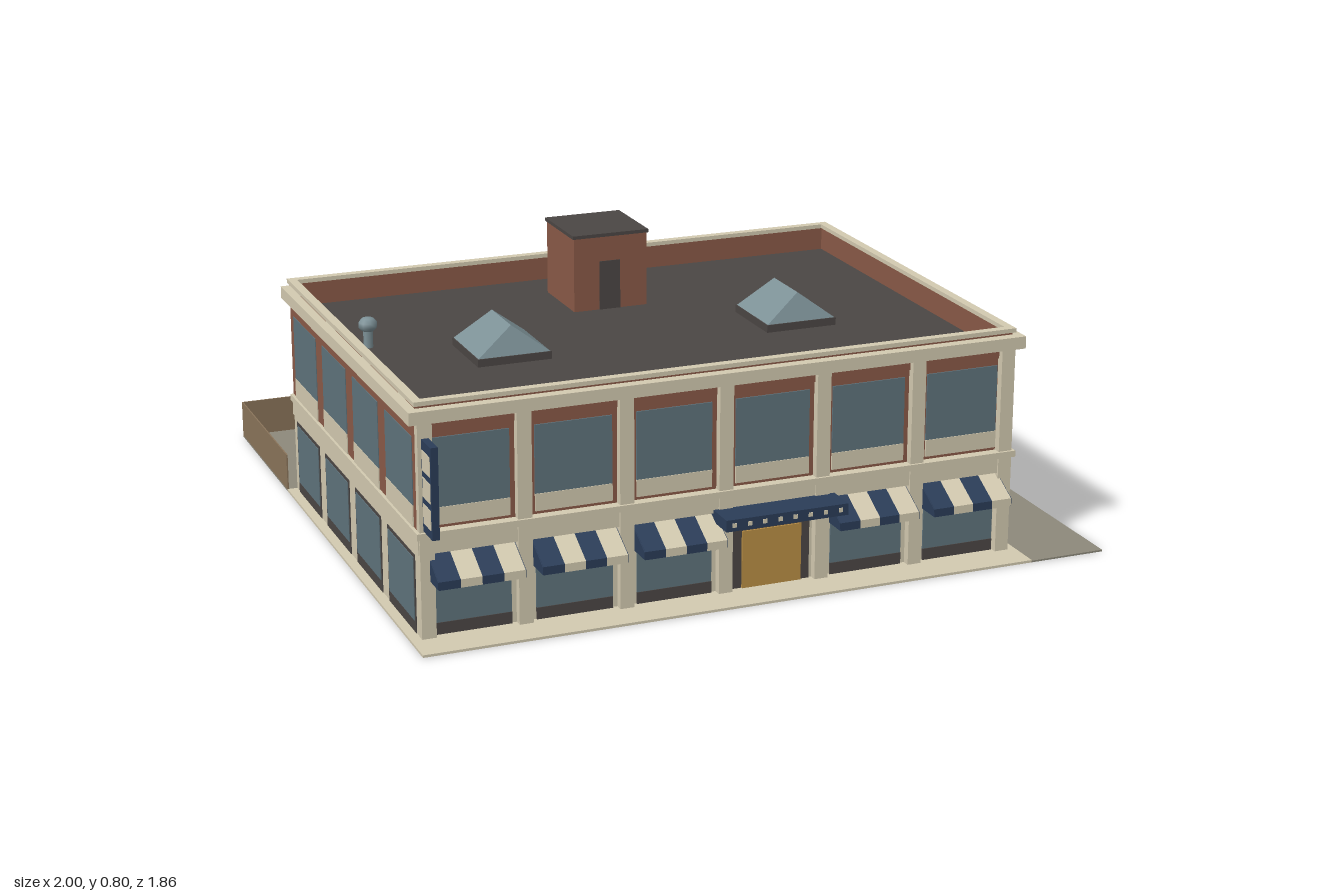
import * as THREE from 'three';

const mat = (name, color) => {
  const m = new THREE.MeshStandardMaterial({ color });
  m.name = name;
  return m;
};

export function createModel() {
  const cream = mat('cream stone', 0xd3cab0);
  const brick = mat('red brick', 0x8a5a47);
  const dark = mat('dark roofing', 0x4b4644);
  const glass = mat('window glass', 0x5f737c);
  const steel = mat('pale steel', 0x7d9197);
  const navy = mat('navy', 0x2b3d58);
  const gold = mat('gold door', 0xba8f45);
  const wood = mat('brown timber', 0x8a745a);
  const paving = mat('paving', 0x8d897b);

  const model = new THREE.Group();
  model.name = 'cornerShop';

  const add = (name, geo, material, parent = model) => {
    const m = new THREE.Mesh(geo, material);
    m.name = name;
    parent.add(m);
    return m;
  };
  // box given by its limits on each axis
  const box = (name, material, x0, x1, y0, y1, z0, z1, parent = model) => {
    const m = add(name, new THREE.BoxGeometry(x1 - x0, y1 - y0, z1 - z0), material, parent);
    m.position.set((x0 + x1) / 2, (y0 + y1) / 2, (z0 + z1) / 2);
    return m;
  };

  const L = -0.97, R = 0.75, B = -0.4, F = 0.81, CX = -0.11;
  const ROOF = 0.575, FLOOR = 0.3;

  // stone base with the pavement, L-shaped yard and its fence
  box('pavement', cream, -1, 0.775, 0, 0.007, B, 0.93);
  box('backYard', paving, -1, 1, 0, 0.005, -0.93, B);
  box('sideYard', paving, 0.775, 1, 0, 0.005, B, 0.93);
  box('backFence', wood, -1, 1, 0, 0.115, -0.934, -0.93);
  box('sideFence', wood, -1, -0.996, 0.005, 0.115, -0.93, B);

  // main body
  box('groundFloor', cream, L, R, 0.005, FLOOR, B, F);
  box('upperFloor', brick, L, R, FLOOR, ROOF - 0.005, B, F);
  box('roofDeck', dark, L + 0.012, R - 0.012, ROOF - 0.005, ROOF, B + 0.012, F - 0.002);

  // parapet and coping share one ring layout
  const ring = (name, material, x0, x1, z0, z1, w, y0, y1) => {
    const g = new THREE.Group();
    g.name = name;
    model.add(g);
    box(name + 'Front', material, x0, x1, y0, y1, z1 - w, z1, g);
    box(name + 'Back', material, x0, x1, y0, y1, z0, z0 + w, g);
    box(name + 'Right', material, x0, x0 + w, y0, y1, z0 + w, z1 - w, g);
    box(name + 'Left', material, x1 - w, x1, y0, y1, z0 + w, z1 - w, g);
  };
  ring('parapet', brick, L, R, B, F + 0.005, 0.016, ROOF - 0.005, 0.643);
  ring('coping', cream, L - 0.006, R + 0.006, B - 0.005, F + 0.015, 0.025, 0.643, 0.655);

  // cornice and floor ledge on the front and both sides
  const trim = (name, out, y0, y1, front) => {
    box(name + 'Front', cream, L - out, R + out, y0, y1, F + 0.001, front);
    box(name + 'Right', cream, L - out, L, y0, y1, B, F + 0.001);
    box(name + 'Left', cream, R, R + out, y0, y1, B, F + 0.001);
  };
  trim('cornice', 0.026, 0.6, 0.635, 0.845);
  trim('ledge', 0.01, 0.285, 0.303, 0.84);
  trim('floorBand', 0.004, 0.24, 0.285, 0.828);

  // front pilasters
  for (let i = 0; i < 7; i++) {
    const x = THREE.MathUtils.clamp(-0.1125 + (i - 3) * 0.285, L + 0.019, R - 0.019);
    box('pilaster', cream, x - 0.02, x + 0.02, 0.007, 0.6, F, 0.833);
  }

  // striped awning with navy cheeks, sloping out from the wall
  const sideShape = (pts) => new THREE.Shape(pts.map(([z, y]) => new THREE.Vector2(-z, y)));
  const extrude = (pts, depth) =>
    new THREE.ExtrudeGeometry(sideShape(pts), { depth, bevelEnabled: false }).rotateY(Math.PI / 2);
  const stripeGeo = extrude([[F, 0.237], [0.9, 0.188], [0.9, 0.165], [F, 0.212]], 0.059);
  const cheekGeo = extrude([[F, 0.236], [0.899, 0.187], [0.899, 0.166], [F, 0.166]], 0.002);
  const awning = (x) => {
    const g = new THREE.Group();
    g.name = 'awning';
    model.add(g);
    for (let i = 0; i < 4; i++)
      add('awningStripe', stripeGeo, i % 2 ? cream : navy, g).position.x = x - 0.118 + i * 0.059;
    for (const dx of [-0.12, 0.118])
      add('awningCheek', cheekGeo, navy, g).position.x = x + dx;
  };

  // front bays
  for (let i = 0; i < 6; i++) {
    const x = 0.03 + (i - 3) * 0.285;
    const h = 0.108;
    box('upperWindow', glass, x - h, x + h, 0.36, 0.55, F, F + 0.004);
    box('spandrel', cream, x - h, x + h, 0.312, 0.36, F, F + 0.006);
    if (i === 3) continue;
    box('kickPlate', dark, x - h, x + h, 0.007, 0.04, F, F + 0.006);
    box('shopWindow', glass, x - h, x + h, 0.04, 0.228, F, F + 0.004);
    awning(x);
  }

  // entrance with a bulb-lined canopy
  box('doorFrame', dark, -0.085, 0.143, 0.007, 0.225, F, F + 0.004);
  box('transom', glass, -0.058, 0.117, 0.178, 0.215, F, F + 0.008);
  box('entranceDoor', gold, -0.058, 0.117, 0.007, 0.172, F, F + 0.009);
  box('entranceCanopy', navy, -0.148, 0.21, 0.217, 0.25, F, 0.917);
  for (let i = 0; i < 8; i++) {
    const x = -0.125 + i * 0.0446;
    box('canopyBulb', cream, x - 0.006, x + 0.006, 0.228, 0.24, 0.917, 0.919);
  }

  // projecting sign board with blank panels on both faces
  box('signBoard', navy, -0.962, -0.942, 0.31, 0.56, 0.838, 0.915);
  for (let i = 0; i < 3; i++) {
    const y = 0.335 + i * 0.072;
    box('signPanel', cream, -0.9635, -0.9405, y, y + 0.054, 0.845, 0.908);
  }

  // side bays, the same on both sides
  for (const s of [-1, 1]) {
    const plate = (name, material, z, w, y0, y1, t) => {
      const xa = CX + s * 0.86, xb = xa + s * t;
      box(name, material, Math.min(xa, xb), Math.max(xa, xb), y0, y1, z - w / 2, z + w / 2);
    };
    for (let i = 0; i < 4; i++) {
      const z = 0.665 - i * 0.3035;
      plate('sideUpperWindow', glass, z, 0.236, 0.362, 0.55, 0.002);
      plate('sideSpandrel', cream, z, 0.236, 0.303, 0.362, 0.003);
      plate('sideWindowFrame', dark, z, 0.242, 0.007, 0.226, 0.002);
      plate('sideShopWindow', glass, z, 0.224, 0.04, 0.217, 0.004);
    }
  }

  // back wall: seven small windows and two loading doors
  for (let i = 0; i < 7; i++) {
    const x = CX + (i - 3) * 0.234;
    box('backWindow', glass, x - 0.05, x + 0.05, 0.37, 0.5, B - 0.002, B);
  }
  box('loadingDoor', steel, 0.21, 0.465, 0.07, 0.225, B - 0.003, B);
  box('loadingDoor', steel, -0.085, 0.16, 0.07, 0.225, B - 0.003, B);
  box('loadingDock', cream, -0.1, 0.49, 0.005, 0.07, -0.53, B);
  box('dockCanopy', dark, -0.127, 0.498, 0.262, 0.274, -0.563, B);

  // yard clutter
  box('skipBody', wood, 0.005, 0.232, 0.005, 0.135, -0.928, -0.78);
  box('skipLid', steel, 0.008, 0.229, 0.135, 0.137, -0.922, -0.782);
  box('crate', wood, 0.243, 0.31, 0.005, 0.06, -0.905, -0.84);
  box('crate', wood, -0.077, -0.017, 0.005, 0.06, -0.613, -0.553);
  for (let i = 0; i < 3; i++)
    add('barrel', new THREE.CylinderGeometry(0.02, 0.02, 0.065, 8), steel)
      .position.set(-0.908 + i * 0.05, 0.0375, -0.437);

  // rooftop stair house
  box('stairHouse', brick, -0.225, 0, ROOF, 0.793, -0.248, -0.022);
  box('stairHouseCap', dark, -0.229, 0.004, 0.793, 0.803, -0.252, -0.018);
  box('stairHouseDoor', dark, -0.147, -0.083, ROOF, 0.72, -0.022, -0.02);

  // hipped skylights with a short ridge running front to back
  for (const x of [-0.545, 0.317]) {
    box('skylightCurb', dark, x - 0.107, x + 0.107, ROOF, 0.597, 0.148, 0.372);
    const geo = new THREE.BoxGeometry(0.208, 0.078, 0.218).toNonIndexed();
    const p = geo.attributes.position;
    for (let i = 0; i < p.count; i++)
      if (p.getY(i) > 0) {
        p.setX(i, 0);
        p.setZ(i, Math.sign(p.getZ(i)) * 0.08);
      }
    geo.computeVertexNormals();
    add('skylightGlass', geo, steel).position.set(x, 0.636, 0.26);
  }

  // roof vent
  const vent = new THREE.Group();
  vent.name = 'roofVent';
  vent.position.set(-0.875, ROOF, 0.08);
  model.add(vent);
  add('ventPipe', new THREE.CylinderGeometry(0.014, 0.014, 0.06, 8), steel, vent).position.y = 0.03;
  const cap = add('ventCap', new THREE.SphereGeometry(0.028, 8, 5), steel, vent);
  cap.position.y = 0.066;
  cap.scale.y = 0.8;

  return model;
}
